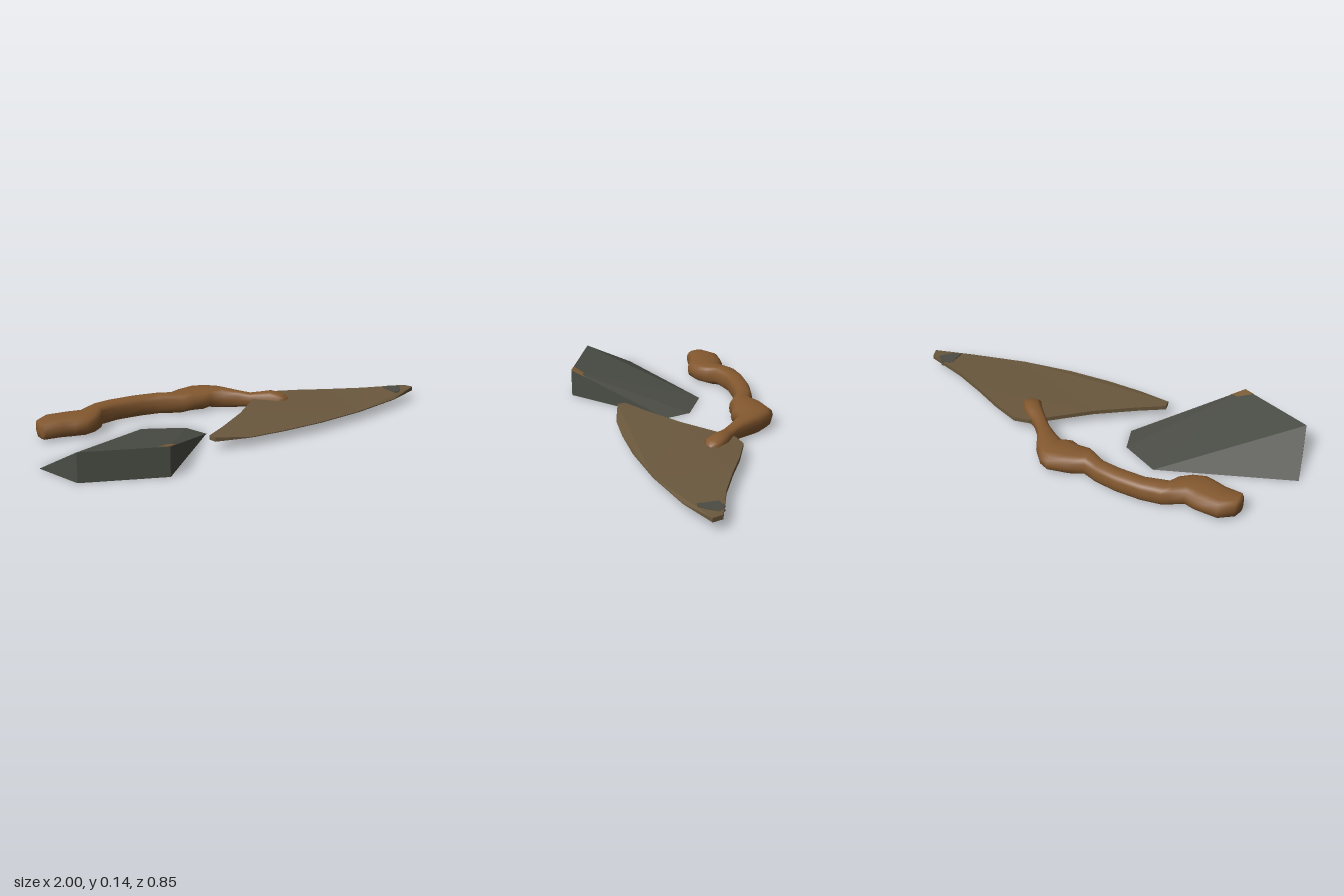
import * as THREE from 'three';

const mat = (name, color, side = THREE.FrontSide) => {
  const m = new THREE.MeshStandardMaterial({ color, side });
  m.name = name;
  return m;
};

function geometry(positions, index) {
  const g = new THREE.BufferGeometry();
  g.setAttribute('position', new THREE.Float32BufferAttribute(positions, 3));
  if (index) g.setIndex(index);
  g.computeVertexNormals();
  return g;
}

// Flat plate from an outline of [x, z] points, standing on y = base
function plate(outline, base, thickness) {
  const shape = new THREE.Shape(outline.map(([x, z]) => new THREE.Vector2(x, -z)));
  const g = new THREE.ExtrudeGeometry(shape, { depth: thickness, bevelEnabled: false });
  return g.rotateX(-Math.PI / 2).translate(0, base, 0);
}

// Loft: each row is [xBack, zBack, xFront, zFront, halfHeight]
function loft(rows, midY, segments) {
  const pos = [], index = [];
  const round = (v) => Math.sign(v) * Math.abs(v) ** 0.75;
  for (const [xa, za, xb, zb, h] of rows) {
    for (let j = 0; j < segments; j++) {
      const t = (j / segments) * Math.PI * 2;
      const c = round(Math.cos(t)), s = round(Math.sin(t));
      pos.push((xa + xb) / 2 + c * (xa - xb) / 2, midY + s * h, (za + zb) / 2 + c * (za - zb) / 2);
    }
  }
  const last = (rows.length - 1) * segments, startCentre = rows.length * segments;
  for (const [xa, za, xb, zb] of [rows[0], rows[rows.length - 1]]) {
    pos.push((xa + xb) / 2, midY, (za + zb) / 2);
  }
  for (let j = 0; j < segments; j++) {
    const k = (j + 1) % segments;
    for (let o = 0; o < last; o += segments) {
      const n = o + segments;
      index.push(o + j, o + k, n + j, o + k, n + k, n + j);
    }
    index.push(startCentre, k, j, startCentre + 1, last + j, last + k);
  }
  return geometry(pos, index);
}

export function createModel() {
  const model = new THREE.Group();
  const stoneGrey = mat('stone grey', 0x4a4c45);
  const bladeBrown = mat('blade brown', 0x6a583d);
  const handleBrown = mat('handle brown', 0x83582f);
  const stainGrey = mat('stain grey', 0x4d4c43);
  const stainTan = mat('stain tan', 0x7a5c38, THREE.DoubleSide);
  const add = (name, geo, material) => {
    const mesh = new THREE.Mesh(geo, material);
    mesh.name = name;
    model.add(mesh);
  };

  // Wedge stone: high front-left edge falling to a thin rim
  const H = 0.135;
  const A = [-1, 0, -0.02], B = [-0.35, 0, -0.17], C = [-0.18, 0, -0.05], D = [-0.16, 0, 0.08];
  const E = [-0.63, H, 0.42], F = [-0.97, H, 0.23];
  const E0 = [-0.63, 0, 0.42], F0 = [-0.97, 0, 0.23];
  const faces = [
    A, F, B, F, E, B, E, C, B, E, D, C, // sloping top
    F0, E0, E, F0, E, F, A, F0, F, E0, D, E, // walls
    A, B, C, A, C, D, A, D, E0, A, E0, F0, // base
  ];
  add('wedgeStone', geometry(faces.flat()), stoneGrey);

  // Tan stain on the highest corner of the stone
  const raise = ([x, y, z]) => [x, y + 0.002, z];
  const near = (p, t) => raise(E.map((v, i) => v + (p[i] - v) * t));
  const rim = [near(F, 0.14), near(B, 0.1), near(C, 0.1), near(D, 0.15)];
  const stain = [0, 1, 2].flatMap((i) => [rim[i], raise(E), rim[i + 1]]);
  add('stoneStain', geometry(stain.flat()), stainTan);

  // Crescent blade, thinned along its curved cutting edge
  const blade = plate([
    [-0.28, 0.25], [-0.28, 0.29], [-0.12, 0.35], [0.06, 0.38], [0.27, 0.4], [0.53, 0.4],
    [0.81, 0.37], [1, 0.32], [0.99, 0.27], [0.79, 0.17], [0.64, 0.075], [0.51, -0.015],
    [0.38, -0.09], [0.3, -0.085], [0.04, 0.09], [-0.15, 0.19],
  ], 0.043, 0.02);
  const p = blade.attributes.position;
  for (let i = 0; i < p.count; i++) {
    if (p.getZ(i) > 0.34 && p.getY(i) > 0.05) p.setY(i, 0.047);
  }
  blade.computeVertexNormals();
  add('blade', blade, bladeBrown);

  // Grey stains near the blade tip, above and below
  const tip = [[0.86, 0.33], [0.87, 0.24], [0.92, 0.23], [0.96, 0.27], [0.92, 0.31], [0.88, 0.335]];
  add('bladeStainTop', plate(tip, 0.057, 0.0075), stainGrey);
  add('bladeStainBottom', plate(tip, 0.0415, 0.004), stainGrey);

  // Knobbly curved handle, ending in a bulb that grips the blade
  add('handle', loft([
    [-0.81, -0.35, -0.81, -0.3, 0.033],
    [-0.79, -0.39, -0.8, -0.28, 0.044],
    [-0.72, -0.43, -0.72, -0.26, 0.049],
    [-0.66, -0.42, -0.67, -0.235, 0.049],
    [-0.61, -0.41, -0.62, -0.215, 0.049],
    [-0.56, -0.385, -0.56, -0.23, 0.049],
    [-0.5, -0.41, -0.505, -0.265, 0.049],
    [-0.46, -0.42, -0.48, -0.31, 0.049],
    [-0.37, -0.42, -0.36, -0.325, 0.049],
    [-0.24, -0.4, -0.24, -0.305, 0.049],
    [-0.13, -0.365, -0.15, -0.28, 0.049],
    [-0.07, -0.335, -0.06, -0.21, 0.049],
    [0, -0.36, 0, -0.2, 0.049],
    [0.1, -0.37, 0.04, -0.175, 0.049],
    [0.145, -0.34, 0.09, -0.19, 0.049],
    [0.19, -0.27, 0.14, -0.15, 0.049],
    [0.23, -0.16, 0.19, -0.1, 0.041],
    [0.27, -0.1, 0.225, -0.05, 0.033],
    [0.315, -0.06, 0.25, -0.015, 0.041],
    [0.35, -0.03, 0.28, 0.03, 0.049],
    [0.385, 0.03, 0.3, 0.07, 0.038],
    [0.375, 0.065, 0.335, 0.08, 0.022],
  ], 0.05, 16), handleBrown);

  return model;
}
